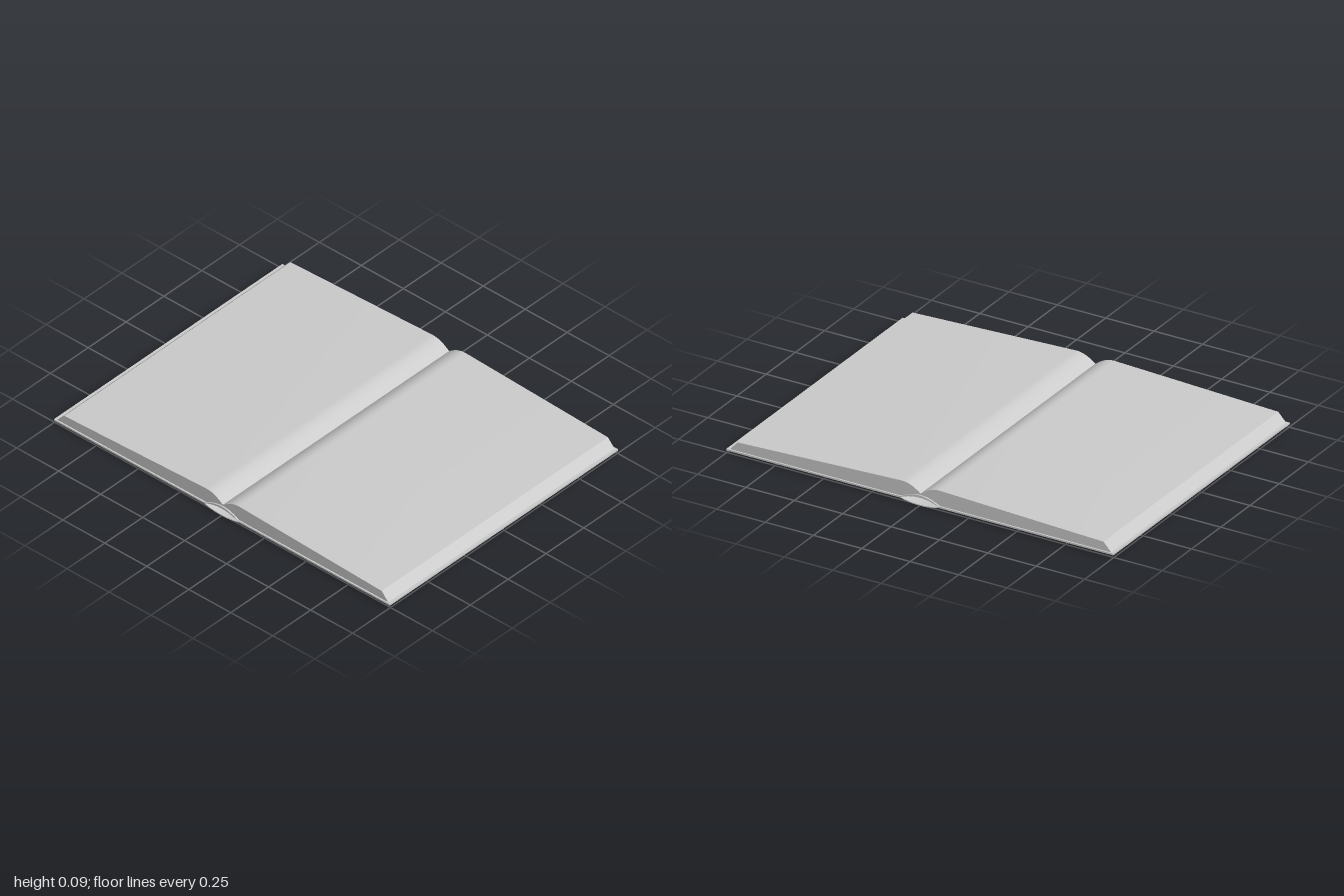
import * as THREE from 'three';
import { toCreasedNormals } from 'three/addons/utils/BufferGeometryUtils.js';

const material = new THREE.MeshStandardMaterial({ color: 0xcccccc, side: THREE.DoubleSide });

// Extrudes a front profile along z, centred, with smooth curves and sharp edges.
function slab(name, shape, depth) {
  const geo = new THREE.ExtrudeGeometry(shape, { depth, bevelEnabled: false, curveSegments: 10 });
  geo.translate(0, 0, -depth / 2);
  const mesh = new THREE.Mesh(toCreasedNormals(geo, 0.5), material);
  mesh.name = name;
  return mesh;
}

// Thin bowed strip across the spine, from edge height to middle height.
function bowedStrip(halfWidth, edgeY, midY, thickness) {
  const s = new THREE.Shape();
  const ctrl = 2 * midY - edgeY;
  s.moveTo(-halfWidth, edgeY);
  s.quadraticCurveTo(0, ctrl, halfWidth, edgeY);
  s.lineTo(halfWidth, edgeY + 0.002);
  s.quadraticCurveTo(0, ctrl + thickness * 2, -halfWidth, edgeY + 0.002);
  s.closePath();
  return s;
}

// Half of the page block: sloped fore-edge, rising top, rounded fall into the gutter.
function pageProfile(side) {
  const s = new THREE.Shape();
  s.moveTo(side * 0.1, 0.02);
  s.lineTo(side * 0.985, 0.02);
  s.lineTo(side * 0.945, 0.063);
  s.lineTo(side * 0.1, 0.095);
  s.bezierCurveTo(side * 0.06, 0.096, side * 0.03, 0.078, 0, 0.055);
  s.lineTo(0, 0.046);
  s.quadraticCurveTo(side * 0.055, 0.044, side * 0.1, 0.02);
  return s;
}

function coverProfile(side) {
  const s = new THREE.Shape();
  s.moveTo(side * 0.098, 0.012);
  s.lineTo(side * 1, 0.012);
  s.lineTo(side * 1, 0.02);
  s.lineTo(side * 0.098, 0.02);
  s.closePath();
  return s;
}

export function createModel() {
  const book = new THREE.Group();
  book.name = 'openBook';

  // Page blocks and cover boards, mirrored about the gutter
  for (const [side, label] of [[1, 'left'], [-1, 'right']]) {
    book.add(slab(label + 'Pages', pageProfile(side), 1.495));
    book.add(slab(label + 'Cover', coverProfile(side), 1.51));
  }

  // Spine cover bowing down, and the binding strip arching up under the pages
  book.add(slab('spine', bowedStrip(0.1, 0.014, 0, 0.004), 1.515));
  book.add(slab('bindingStrip', bowedStrip(0.1, 0.016, 0.038, 0.01), 1.51));

  return book;
}
